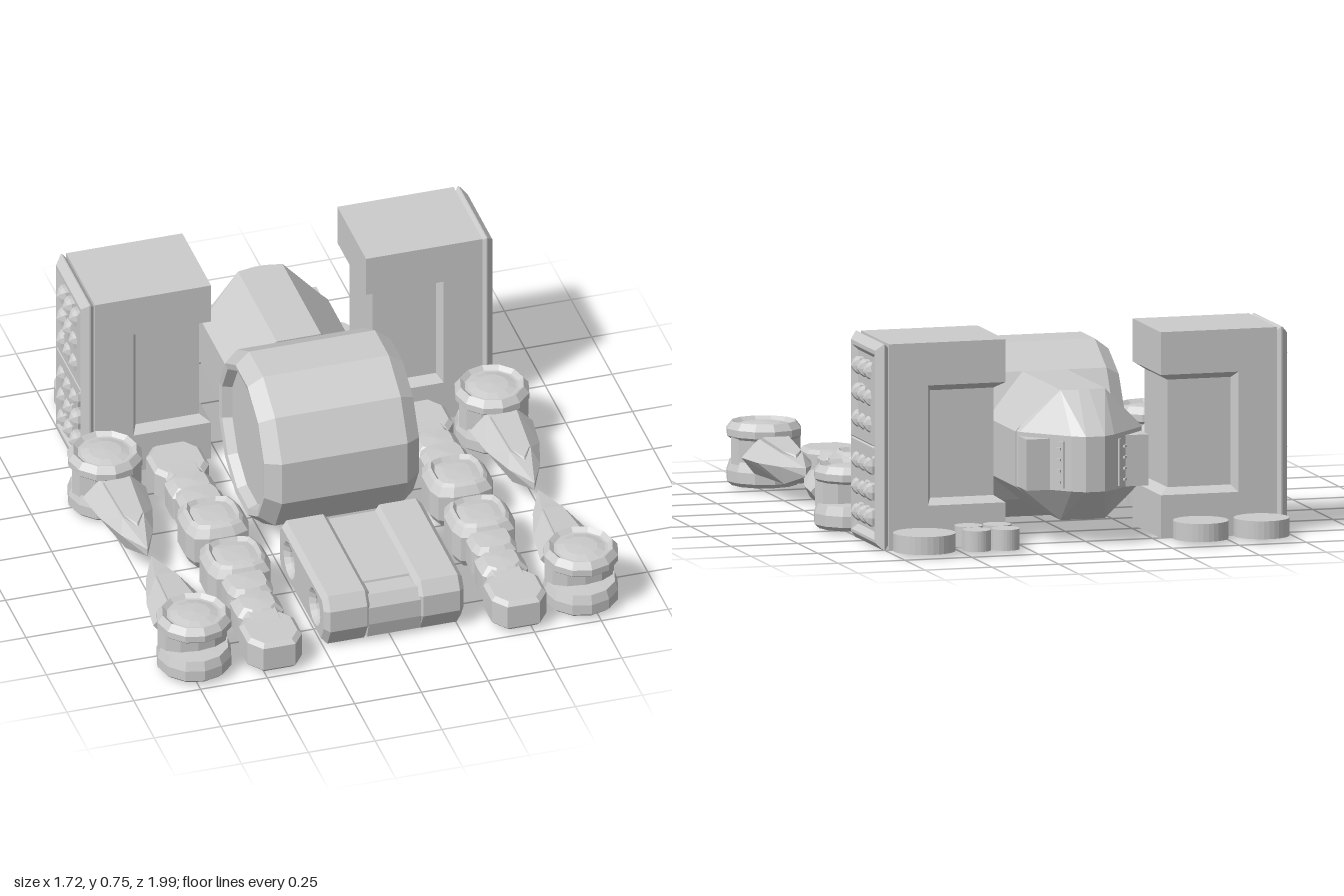
import * as THREE from 'three';
import { ConvexGeometry } from 'three/addons/geometries/ConvexGeometry.js';

const grey = new THREE.MeshStandardMaterial({ color: 0xcccccc, flatShading: true });
const V2 = (p) => p.map(([x, y]) => new THREE.Vector2(x, y));

function add(parent, name, geo, x = 0, y = 0, z = 0) {
  const m = new THREE.Mesh(geo, grey);
  m.name = name;
  m.position.set(x, y, z);
  parent.add(m);
  return m;
}

// box given by its extents
function block(parent, name, x0, x1, y0, y1, z0, z1) {
  return add(parent, name, new THREE.BoxGeometry(x1 - x0, y1 - y0, z1 - z0),
    (x0 + x1) / 2, (y0 + y1) / 2, (z0 + z1) / 2);
}

// convex solid; mirrored points are added for symmetry in x or z
function hull(points, mirror = '') {
  let pts = points;
  if (mirror === 'x') pts = pts.concat(pts.map(([x, y, z]) => [-x, y, z]));
  if (mirror === 'z') pts = pts.concat(pts.map(([x, y, z]) => [x, y, -z]));
  return new ConvexGeometry(pts.map((p) => new THREE.Vector3(...p)));
}

// lathe whose round outline can be pushed out to a rounded square
function turned(profile, sides, square = false, start = 0) {
  const geo = new THREE.LatheGeometry(V2(profile), sides, start);
  if (square) {
    const p = geo.attributes.position;
    for (let i = 0; i < p.count; i++) {
      const x = p.getX(i), z = p.getZ(i), r = Math.hypot(x, z);
      if (r < 1e-6) continue;
      const f = r / Math.pow(x ** 4 + z ** 4, 0.25);
      p.setX(i, x * f);
      p.setZ(i, z * f);
    }
  }
  return geo;
}

// shape drawn in (-z, y), extruded from x0 to x1 including its bevels
function extrudeX(shape, x0, x1, bevel, steps = 1) {
  const geo = new THREE.ExtrudeGeometry(shape, {
    depth: x1 - x0 - 2 * bevel, bevelEnabled: true, bevelThickness: bevel,
    bevelSize: bevel, bevelOffset: -bevel, bevelSegments: steps, curveSegments: 8,
  });
  return geo.translate(0, 0, x0 + bevel).rotateY(Math.PI / 2);
}

// missile pod: x runs outwards, z is centred
function makePod() {
  const g = new THREE.Group();
  const d = 0.175, c = 0.14;
  block(g, 'podTop', 0.29, 0.725, 0.59, 0.745, -d, d);
  block(g, 'podBase', 0.29, 0.725, 0, 0.155, -d, d);
  block(g, 'podPillar', 0.58, 0.725, 0.155, 0.59, -d, d);
  block(g, 'podCore', 0.325, 0.58, 0.155, 0.59, -c, c);
  // sloped rims around the recess
  for (const [y0, y1] of [[0.59, 0.567], [0.155, 0.178]]) {
    add(g, 'podRim', hull([[0.29, y0, d], [0.58, y0, d], [0.325, y1, c], [0.58, y1, c]], 'z'));
  }
  add(g, 'podRim', hull([[0.58, 0.155, d], [0.58, 0.59, d], [0.562, 0.155, c], [0.562, 0.59, c]], 'z'));
  // outer face: bevelled frame with two openings
  const face = new THREE.Shape(V2([[-d, 0], [d, 0], [d, 0.745], [-d, 0.745]]));
  for (const y of [0.06, 0.39]) {
    face.holes.push(new THREE.Path(V2([[-0.12, y], [-0.12, y + 0.29], [0.12, y + 0.29], [0.12, y]])));
  }
  add(g, 'missileFrame', extrudeX(face, 0.715, 0.77, 0.025));
  block(g, 'missilePanel', 0.72, 0.75, 0.03, 0.71, -0.14, 0.14);
  const tip = turned([[0, 0], [0.033, 0], [0.033, 0.018], [0.022, 0.032], [0, 0.045]], 8, true);
  tip.rotateZ(-Math.PI / 2);
  for (const y of [0.107, 0.2, 0.295, 0.444, 0.54, 0.636]) {
    for (const z of [-0.075, 0, 0.075]) add(g, 'missile', tip, 0.748, y, z);
  }
  return g;
}

// limb section: cup, knuckle and foot, running out along +z
function makeLeg() {
  const g = new THREE.Group();
  add(g, 'legCup', turned([[0, 0.03], [0.075, 0.03], [0.09, 0.01], [0.103, 0.01], [0.119, 0.04],
    [0.119, 0.14], [0.1, 0.17], [0.088, 0.18], [0.077, 0.165], [0.05, 0.17], [0, 0.172]], 16, true), 0, 0, 0.135);
  add(g, 'legKnuckle', turned([[0, 0.02], [0.07, 0.02], [0.085, 0.04], [0.085, 0.13],
    [0.065, 0.155], [0, 0.16]], 16, true), 0, 0, 0.28);
  add(g, 'legNeck', hull([[0.08, 0.02, 0.28], [0.072, 0.02, 0.53], [0.08, 0.11, 0.28],
    [0.072, 0.11, 0.53], [0.05, 0.14, 0.28], [0.05, 0.13, 0.53]], 'x'));
  add(g, 'legAnkle', turned([[0, 0.02], [0.085, 0.02], [0.088, 0.11], [0.06, 0.14], [0, 0.145]], 12, true), 0, 0, 0.4);
  const foot = [];
  for (const [x, z] of [[0.07, 0.47], [0.102, 0.515], [0.102, 0.62], [0.06, 0.677]]) {
    foot.push([x, 0.025, z], [x * 0.85, 0.01, 0.575 + (z - 0.575) * 0.85]);
    foot.push([x, 0.115, z], [x * 0.85, 0.13, 0.575 + (z - 0.575) * 0.85]);
  }
  add(g, 'foot', hull(foot, 'x'));
  return g;
}

// claw: capped hub at the outer end, blade pointing back to the origin
function makeClaw() {
  const g = new THREE.Group(), z = 0.543;
  add(g, 'clawBase', turned([[0, 0.03], [0.08, 0.03], [0.095, 0.01], [0.12, 0.01], [0.137, 0.025],
    [0.137, 0.065], [0.125, 0.1], [0, 0.105]], 12), 0, 0, z);
  const waist = new THREE.CylinderGeometry(0.13, 0.13, 0.1, 12);
  add(g, 'clawWaist', waist.scale(1, 1, 0.6), 0, 0.14, z - 0.02);
  add(g, 'clawCap', turned([[0, 0.18], [0.125, 0.18], [0.137, 0.19], [0.137, 0.215], [0.117, 0.24],
    [0.1, 0.226], [0.09, 0.226], [0.06, 0.234], [0, 0.238]], 12), 0, 0, z);
  add(g, 'clawBlade', hull([[0, 0.14, 0.022], [0, 0.11, 0.022], [0.06, 0.13, 0.15], [0.1, 0.125, 0.29],
    [0.118, 0.125, 0.43], [0.055, 0.19, 0.43], [0.04, 0.17, 0.2], [0.07, 0.065, 0.43],
    [0.04, 0.065, 0.16]], 'x'));
  // raised spine on the blade
  add(g, 'bladeSpine', hull([[0, 0.16, 0.14], [0.035, 0.165, 0.2], [0.05, 0.2, 0.4],
    [0.035, 0.18, 0.2], [0, 0.17, 0.15], [0.05, 0.14, 0.4]], 'x'));
  return g;
}

export function createModel() {
  const model = new THREE.Group();
  const place = (group, name, x, z, turn) => {
    group.name = name;
    group.position.set(x, 0, z);
    group.rotation.y = turn;
    model.add(group);
  };

  place(makePod(), 'leftPod', 0.01, -0.58, 0);
  place(makePod(), 'rightPod', 0.01, -0.58, Math.PI);

  for (const s of [-1, 1]) {
    const side = s > 0 ? 'Left' : 'Right';
    for (const [end, turn] of [['front', 0], ['rear', Math.PI]]) {
      place(makeLeg(), `${end}${side}Leg`, 0.007 + s * 0.457, 0.308, turn);
      place(makeClaw(), `${end}${side}Claw`, -0.005 + s * 0.724, 0.308, turn);
    }
  }

  // twelve-sided drum body with recessed ends
  const half = [[0, 0.25], [0.25, 0.25], [0.262, 0.285], [0.285, 0.29], [0.327, 0.235]];
  const drum = turned([...half.map(([r, a]) => [r, -a]), ...[...half].reverse()], 12, false, Math.PI / 12);
  add(model, 'drumBody', drum.rotateZ(Math.PI / 2), 0.01, 0.318, -0.033);

  // head: faceted neck, sloped nose and side cheeks
  const head = new THREE.Group();
  head.name = 'head';
  head.position.x = 0.007;
  model.add(head);
  const section = [[0.083, 0.55], [0.237, 0.4], [0.237, 0.2], [0.083, 0.08]];
  add(head, 'neck', hull(section.flatMap(([x, y]) =>
    [[x, y, -0.69], [x, y, x > 0.1 ? -0.34 : -0.27]]), 'x'));
  const nose = section.map(([x, y]) => [x, y, -0.68]);
  for (const y of [0.2, 0.4]) nose.push([0.225, y, -0.71], [0.08, y, -0.865], [0.035, y, -0.897]);
  for (const y of [0.08, 0.55]) nose.push([0.083, y, -0.74], [0.02, y, -0.752]);
  add(head, 'nose', hull(nose, 'x'));
  for (const s of [-1, 1]) {
    block(head, 'cheek', s > 0 ? 0.14 : -0.228, s > 0 ? 0.228 : -0.14, 0.2, 0.385, -0.8, -0.68);
    // vertical strip and studs along the slanted nose wall
    const wall = new THREE.Group();
    wall.name = 'noseDetail';
    wall.position.set(s * 0.105, 0.295, -0.838);
    wall.rotation.y = s * 0.82;
    head.add(wall);
    block(wall, 'noseStrip', -0.008, 0.008, -0.085, 0.085, -0.008, 0.01);
    for (const x of [-0.025, 0.025]) {
      for (const y of [-0.06, -0.02, 0.02, 0.06]) block(wall, 'stud', x - 0.004, x + 0.004, y - 0.004, y + 0.004, -0.005, 0.01);
    }
  }

  // front hip block: two bored side blocks joined by a lower bridge
  const hip = new THREE.Group();
  hip.name = 'hipBlock';
  hip.position.x = 0.009;
  model.add(hip);
  const outline = V2([[-0.86, 0.005], [-0.36, 0.005], [-0.327, 0.04], [-0.327, 0.175],
    [-0.36, 0.215], [-0.87, 0.215], [-0.902, 0.165], [-0.902, 0.08]]);
  for (const s of [-1, 1]) {
    const shape = new THREE.Shape(outline);
    for (const u of [-0.77, -0.46]) shape.holes.push(new THREE.Path().absarc(u, 0.11, 0.05, 0, Math.PI * 2, true));
    add(hip, 'hipSide', extrudeX(shape, s > 0 ? 0.085 : -0.262, s > 0 ? 0.262 : -0.085, 0.02));
  }
  block(hip, 'hipCore', -0.2, 0.2, 0.03, 0.19, 0.36, 0.86);
  const bridge = new THREE.Shape(V2([[-0.88, 0.02], [-0.34, 0.02], [-0.33, 0.16], [-0.37, 0.198],
    [-0.79, 0.198], [-0.795, 0.18], [-0.825, 0.18], [-0.83, 0.193], [-0.87, 0.193], [-0.895, 0.15], [-0.895, 0.08]]));
  add(hip, 'hipBridge', extrudeX(bridge, -0.1, 0.1, 0.002));

  // loose discs behind the pods
  const discs = [[-0.617, -0.886, 0.1, 0.08], [-0.39, -0.886, 0.1, 0.08], [0.644, -0.89, 0.112, 0.08]];
  for (const x of [0.354, 0.461]) for (const z of [-0.934, -0.83]) discs.push([x, z, 0.051, 0.09]);
  for (const [x, z, r, top] of discs) {
    add(model, 'disc', new THREE.CylinderGeometry(r, r, top - 0.015, 32), x, (top + 0.015) / 2, z);
  }
  return model;
}
